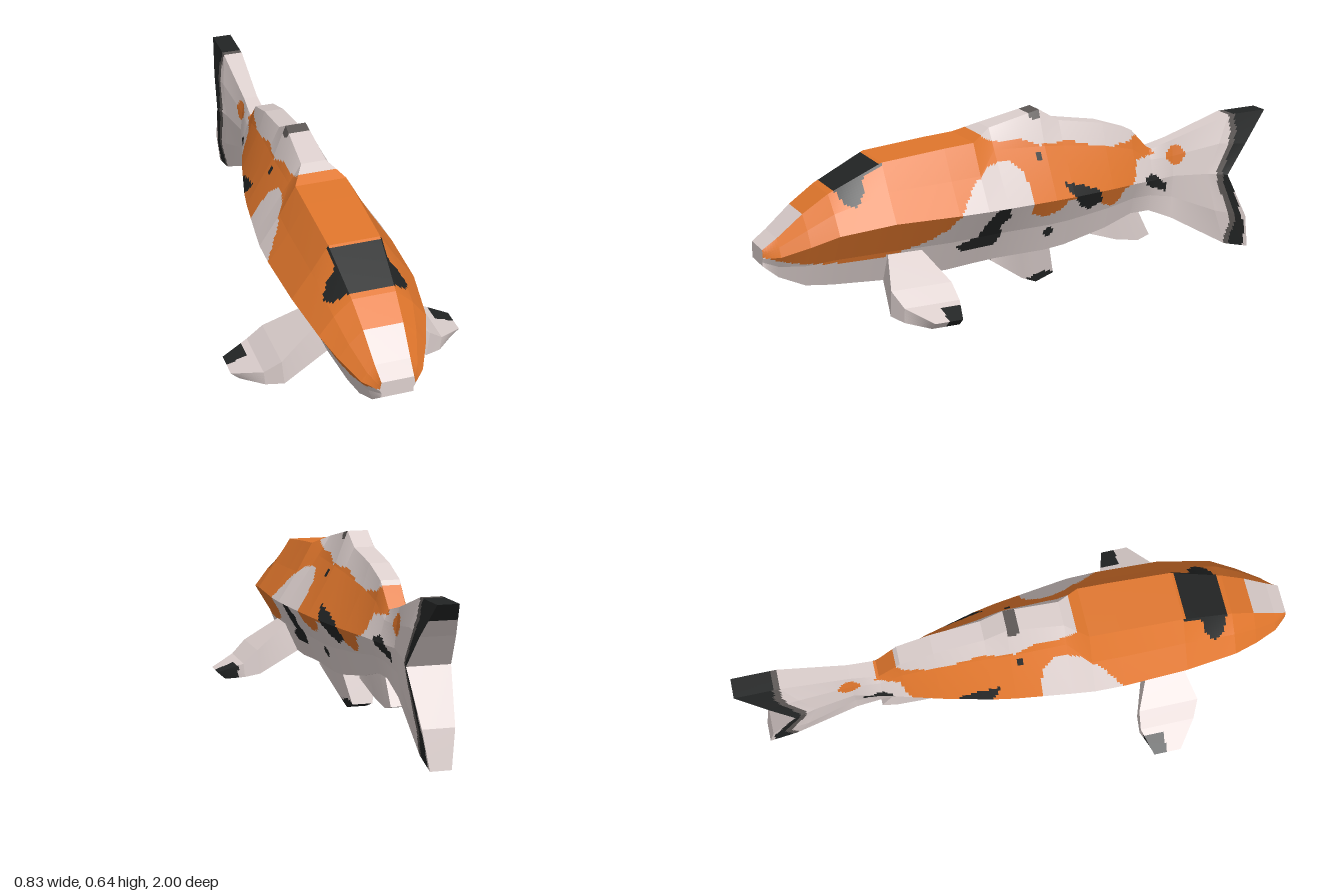
import * as THREE from 'three';

const mat = (name, color) => Object.assign(new THREE.MeshStandardMaterial({ color }), { name });
const WHITE = 0, ORANGE = 1, BLACK = 2, GREY = 3;
const STEP = 0.011; // cell size of the painted skin

// Point-in-polygon test on [z, y] outlines
function inside(poly, z, y) {
  let hit = false;
  for (let i = 0, j = poly.length - 1; i < poly.length; j = i++) {
    const [zi, yi] = poly[i], [zj, yj] = poly[j];
    if ((yi > y) !== (yj > y) && z < ((zj - zi) * (y - yi)) / (yj - yi) + zi) hit = !hit;
  }
  return hit;
}
const spot = (z, y, cz, cy, r) => Math.hypot(z - cz, y - cy) < r;

// Skins a row of matching rings (clockwise seen along the loft), closes both ends,
// and sorts the small cells into one geometry group per colour.
function loft(name, rings, materials, paint, paintEnd = paint) {
  const buckets = materials.map(() => []);
  const patch = (a, b, c, d, rule) => {
    const nu = Math.max(1, Math.ceil(Math.max(a.distanceTo(b), d.distanceTo(c)) / STEP));
    const nv = Math.max(1, Math.ceil(Math.max(a.distanceTo(d), b.distanceTo(c)) / STEP));
    const at = (i, j) => a.clone().lerp(b, i / nu).lerp(d.clone().lerp(c, i / nu), j / nv);
    for (let i = 0; i < nu; i++) for (let j = 0; j < nv; j++) {
      const m = at(i + 0.5, j + 0.5);
      const [p, q, r, s] = [at(i, j), at(i + 1, j), at(i + 1, j + 1), at(i, j + 1)];
      const out = buckets[rule(m.x, m.y, m.z)];
      for (const v of [p, q, r, p, r, s]) out.push(v.x, v.y, v.z);
    }
  };
  const n = rings[0].length;
  for (let k = 0; k < rings.length - 1; k++) {
    for (let j = 0; j < n; j++) {
      const e = (j + 1) % n;
      patch(rings[k][j], rings[k][e], rings[k + 1][e], rings[k + 1][j], paint);
    }
  }
  const first = rings[0], last = rings[rings.length - 1];
  for (let j = 0; j < n / 2 - 1; j++) {
    patch(first[n - 1 - j], first[n - 2 - j], first[j + 1], first[j], paint);
    patch(last[j], last[j + 1], last[n - 2 - j], last[n - 1 - j], paintEnd);
  }
  const geo = new THREE.BufferGeometry();
  geo.setAttribute('position', new THREE.Float32BufferAttribute(buckets.flat(), 3));
  let start = 0;
  buckets.forEach((b, i) => {
    if (b.length) geo.addGroup(start, b.length / 3, i);
    start += b.length / 3;
  });
  geo.computeVertexNormals();
  const mesh = new THREE.Mesh(geo, materials);
  mesh.name = name;
  return mesh;
}

// Ring symmetric in x from right-hand points, listed from top to bottom
const V = (x, y, z) => new THREE.Vector3(x, y, z);
const mirrorRing = (pts) => [...pts, ...[...pts].reverse().map((p) => V(-p.x, p.y, p.z))];

// Markings as [z, y] outlines on the flanks
const orangeBack = [
  [1.1, 0.27], [0.97, 0.25], [0.9, 0.23], [0.8, 0.22], [0.65, 0.215], [0.55, 0.23], [0.45, 0.26],
  [0.38, 0.3], [0.33, 0.37], [0.27, 0.44], [0.2, 0.49], [0.12, 0.5], [0.07, 0.46], [0.05, 0.38],
  [0.05, 0.31], [0, 0.285], [-0.06, 0.3], [-0.1, 0.34], [-0.2, 0.33], [-0.25, 0.3], [-0.3, 0.27],
  [-0.34, 0.28], [-0.36, 0.33], [-0.41, 0.35], [-0.43, 0.42], [-0.52, 0.43], [-0.48, 0.5],
  [-0.44, 0.515], [-0.4, 0.49], [-0.32, 0.485], [-0.24, 0.5], [-0.15, 0.53], [-0.02, 0.53],
  [0.05, 0.56], [0.13, 0.555], [0.2, 0.58], [0.25, 0.7], [1.1, 0.7],
];
const blackPatches = [
  [[0.75, 0.46], [0.73, 0.42], [0.69, 0.41], [0.66, 0.45], [0.65, 0.495], [0.58, 0.535], [0.66, 0.53], [0.71, 0.5]],
  [[0.33, 0.22], [0.31, 0.195], [0.18, 0.2], [0.16, 0.24], [0.17, 0.28], [0.14, 0.31], [0.15, 0.35], [0.2, 0.35], [0.24, 0.29], [0.25, 0.25]],
  [[-0.1, 0.37], [-0.09, 0.4], [-0.17, 0.38], [-0.24, 0.35], [-0.26, 0.3], [-0.2, 0.28], [-0.16, 0.3], [-0.13, 0.34]],
  [[-0.46, 0.35], [-0.47, 0.32], [-0.57, 0.28], [-0.57, 0.31], [-0.5, 0.36]],
];
const tailBand = [
  [-0.86, 0.6], [-0.87, 0.48], [-0.84, 0.41], [-0.8, 0.34], [-0.81, 0.28], [-0.85, 0.2],
  [-0.88, 0.13], [-0.86, 0.07], [-0.86, -0.1], [-0.93, -0.1], [-0.92, 0.1], [-0.86, 0.24],
  [-0.84, 0.32], [-1.1, 0.5], [-1.1, 0.6],
];

function paintBody(x, y, z) {
  if (inside(tailBand, z, y)) return BLACK;
  if (inside(tailBand, z - 0.025, y)) return GREY;
  if (blackPatches.some((p) => inside(p, z, y))) return BLACK;
  if (spot(z, y, -0.04, 0.215, 0.017) || spot(z, y, -0.01, 0.495, 0.012)) return BLACK;
  if (spot(z, y, -0.02, 0.635, 0.02)) return GREY;
  if (z > 0.86 && Math.abs(x) < 0.055 + (1 - z) * 0.09) return WHITE; // pale snout
  if (inside(orangeBack, z, y) || spot(z, y, -0.61, 0.415, 0.037)) return ORANGE;
  return WHITE;
}

// z, then height and half-width of the top, shoulder, side and belly
const bodyRows = [
  [1, 0.28, 0.055, 0.265, 0.058, 0.25, 0.06, 0.222, 0.055],
  [0.95, 0.315, 0.06, 0.29, 0.085, 0.26, 0.105, 0.18, 0.065],
  [0.86, 0.39, 0.068, 0.345, 0.115, 0.295, 0.15, 0.14, 0.075],
  [0.77, 0.45, 0.075, 0.395, 0.135, 0.33, 0.185, 0.132, 0.085],
  [0.58, 0.54, 0.09, 0.45, 0.148, 0.355, 0.215, 0.122, 0.092],
  [0.35, 0.562, 0.092, 0.46, 0.152, 0.355, 0.224, 0.125, 0.095],
  [0.24, 0.57, 0.092, 0.465, 0.15, 0.355, 0.222, 0.135, 0.095],
  [0.16, 0.605, 0.045, 0.535, 0.09, 0.353, 0.212, 0.14, 0.093],
  [-0.04, 0.648, 0.037, 0.525, 0.085, 0.35, 0.185, 0.14, 0.085],
  [-0.12, 0.6, 0.036, 0.515, 0.076, 0.348, 0.17, 0.147, 0.08],
  [-0.3, 0.57, 0.035, 0.49, 0.06, 0.343, 0.125, 0.18, 0.06],
  [-0.42, 0.53, 0.034, 0.46, 0.05, 0.34, 0.09, 0.213, 0.04],
  [-0.5, 0.445, 0.03, 0.41, 0.045, 0.335, 0.065, 0.213, 0.035],
  [-0.6, 0.47, 0.026, 0.41, 0.035, 0.335, 0.042, 0.17, 0.028],
];
// Swept-back tail rings, right-hand points [x, y, z]
const tailRows = [
  [[0.036, 0.543, -0.84], [0.055, 0.44, -0.79], [0.06, 0.33, -0.74], [0.055, 0.18, -0.78], [0.034, 0.035, -0.84]],
  [[0.036, 0.546, -1], [0.06, 0.43, -0.905], [0.075, 0.32, -0.82], [0.055, 0.14, -0.92], [0.036, 0.01, -0.945]],
];

export function createModel() {
  const model = new THREE.Group();
  model.name = 'fish';
  const materials = [
    mat('pale skin', 0xdccfcd), mat('orange skin', 0xe0762c),
    mat('black markings', 0x222424), mat('grey fringe', 0x5c5755),
  ];

  // Body with back fin ridge and forked tail
  const rings = bodyRows.map(([z, yt, tw, yu, uw, ym, w, yb, bw]) => mirrorRing([
    V(tw, yt, z), V(uw, yu, z), V(w, ym, z), V(0.465 * (w + bw), (ym + yb) / 2, z), V(bw, yb, z),
  ]));
  tailRows.forEach((row) => rings.push(mirrorRing(row.map((p) => V(...p)))));
  model.add(loft('body', rings, materials, paintBody, (x, y) => (y > 0.49 ? BLACK : WHITE)));

  // Central fins under the belly: [top z, top y, top half-width, low z, low y, low half-width]
  const underFin = (name, rows, paint) => model.add(loft(name,
    rows.map(([zt, yt, wt, zb, yb, wb]) => mirrorRing([V(wt, yt, zt), V(wb, yb, zb)])), materials, paint));
  underFin('pelvicFin', [
    [0.18, 0.16, 0.085, 0.17, 0.128, 0.085], [0.05, 0.16, 0.08, 0.03, 0.03, 0.045],
    [0, 0.16, 0.075, -0.03, 0.005, 0.037], [-0.065, 0.16, 0.07, -0.1, 0.03, 0.037],
  ], (x, y, z) => (y < 0.045 - Math.abs(z + 0.06) * 0.3 && z < 0.03 ? BLACK : WHITE));
  underFin('analFin', [
    [-0.24, 0.18, 0.055, -0.25, 0.16, 0.055], [-0.34, 0.21, 0.045, -0.36, 0.12, 0.04],
    [-0.42, 0.23, 0.035, -0.46, 0.1, 0.03], [-0.45, 0.23, 0.03, -0.51, 0.115, 0.025],
  ], () => WHITE);

  // Side fins: [top x, top y, low x, low y, back z, front z]
  const finRings = [
    [0.14, 0.228, 0.09, 0.122, 0.46, 0.585], [0.265, 0.142, 0.255, 0.05, 0.405, 0.625],
    [0.32, 0.094, 0.315, 0.042, 0.4, 0.6], [0.415, 0.06, 0.385, 0.033, 0.43, 0.53],
  ].map(([xt, yt, xb, yb, zb, zf]) => [V(xt, yt, zb), V(xt, yt, zf), V(xb, yb, zf), V(xb, yb, zb)]);
  const paintFin = (x, y, z) => (Math.abs(x) > 0.34 && z < 0.48 ? BLACK : WHITE);
  model.add(loft('leftPectoralFin', finRings, materials, paintFin));
  const mirrored = finRings.map((r) => [...r].reverse().map((p) => V(-p.x, p.y, p.z)));
  model.add(loft('rightPectoralFin', mirrored, materials, paintFin));
  return model;
}
